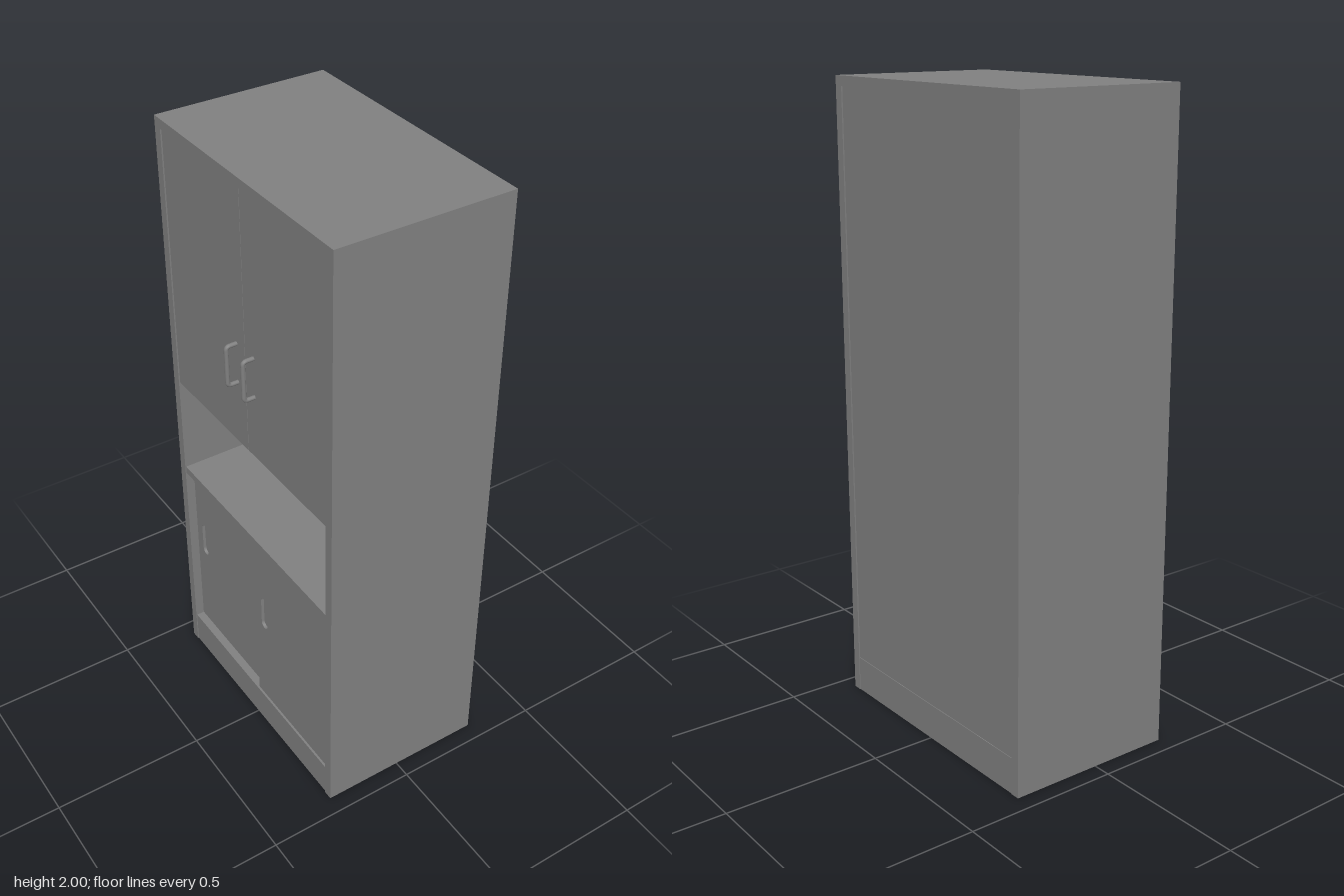
import * as THREE from 'three';

const grey = new THREE.MeshStandardMaterial({ color: 0x808080 });
grey.name = 'grey';

// Box given by its limits on each axis
function panel(name, [x0, x1], [y0, y1], [z0, z1]) {
  const mesh = new THREE.Mesh(new THREE.BoxGeometry(x1 - x0, y1 - y0, z1 - z0), grey);
  mesh.position.set((x0 + x1) / 2, (y0 + y1) / 2, (z0 + z1) / 2);
  mesh.name = name;
  return mesh;
}

// Sliding door with a rounded finger-pull recess; the door front faces -x
function slidingDoor(name, front, [z0, z1], [y0, y1], pullZ) {
  const depth = 0.018, r = 0.017, low = 0.445, high = 0.537;
  const shape = new THREE.Shape();
  shape.moveTo(z0, y0).lineTo(z1, y0).lineTo(z1, y1).lineTo(z0, y1).closePath();
  const hole = new THREE.Path();
  hole.absarc(pullZ, high, r, 0, Math.PI, false);
  hole.absarc(pullZ, low, r, Math.PI, Math.PI * 2, false);
  hole.closePath();
  shape.holes.push(hole);
  const geometry = new THREE.ExtrudeGeometry(shape, { depth, bevelEnabled: false, curveSegments: 10 });
  geometry.rotateY(-Math.PI / 2);
  const leaf = new THREE.Mesh(geometry, grey);
  leaf.position.x = front + depth;
  leaf.name = name + 'Leaf';
  const group = new THREE.Group();
  group.name = name;
  group.add(leaf, panel(name + 'PullBase', [front + 0.01, front + 0.016],
    [low - r - 0.004, high + r + 0.004], [pullZ - r - 0.004, pullZ + r + 0.004]));
  return group;
}

// Bow handle: a round bar with two softly bent corners
function bowHandle(name, z) {
  const base = -0.25, out = -0.29, y0 = 1.337, y1 = 1.468, r = 0.012;
  const v = (x, y) => new THREE.Vector3(x, y, z);
  const path = new THREE.CurvePath();
  path.add(new THREE.LineCurve3(v(base, y0), v(out + r, y0)));
  path.add(new THREE.QuadraticBezierCurve3(v(out + r, y0), v(out, y0), v(out, y0 + r)));
  path.add(new THREE.LineCurve3(v(out, y0 + r), v(out, y1 - r)));
  path.add(new THREE.QuadraticBezierCurve3(v(out, y1 - r), v(out, y1), v(out + r, y1)));
  path.add(new THREE.LineCurve3(v(out + r, y1), v(base, y1)));
  const mesh = new THREE.Mesh(new THREE.TubeGeometry(path, 80, 0.007, 10, false), grey);
  mesh.name = name;
  return mesh;
}

export function createModel() {
  const model = new THREE.Group();
  model.name = 'cabinet';
  const front = -0.26, back = 0.296, half = 0.443, inner = 0.413;
  const inside = [-inner, inner];

  // Carcass
  model.add(panel('topBoard', [front, back], [1.97, 2], [-half, half]));
  for (const s of [-1, 1]) {
    const z = s < 0 ? [-half, -inner] : [inner, half];
    model.add(panel(s < 0 ? 'sidePanelA' : 'sidePanelB', [front, back], [0, 1.97], z));
  }
  model.add(panel('plinth', [front + 0.003, back - 0.002], [0, 0.115], inside));
  model.add(panel('backPanel', [back - 0.018, back - 0.004], [0.115, 1.97], inside));

  // Boards above and below the open niche
  model.add(panel('nicheShelf', [front + 0.003, back - 0.018], [0.76, 0.785], inside));
  model.add(panel('nicheCeiling', [front + 0.024, back - 0.018], [1.12, 1.145], inside));

  // Hinged upper doors and their handles
  for (const s of [-1, 1]) {
    const tag = s < 0 ? 'A' : 'B';
    const z = s < 0 ? [-inner + 0.001, -0.001] : [0.001, inner - 0.001];
    model.add(panel('upperDoor' + tag, [front + 0.004, front + 0.024], [1.12, 1.968], z));
    model.add(bowHandle('doorHandle' + tag, s * 0.045));
  }

  // Lower sliding doors on two tracks
  model.add(slidingDoor('slidingDoorFront', front + 0.01, [0, inner], [0.115, 0.76], 0.047));
  model.add(slidingDoor('slidingDoorRear', front + 0.03, [-inner, 0.03], [0.115, 0.76], -0.363));

  return model;
}
